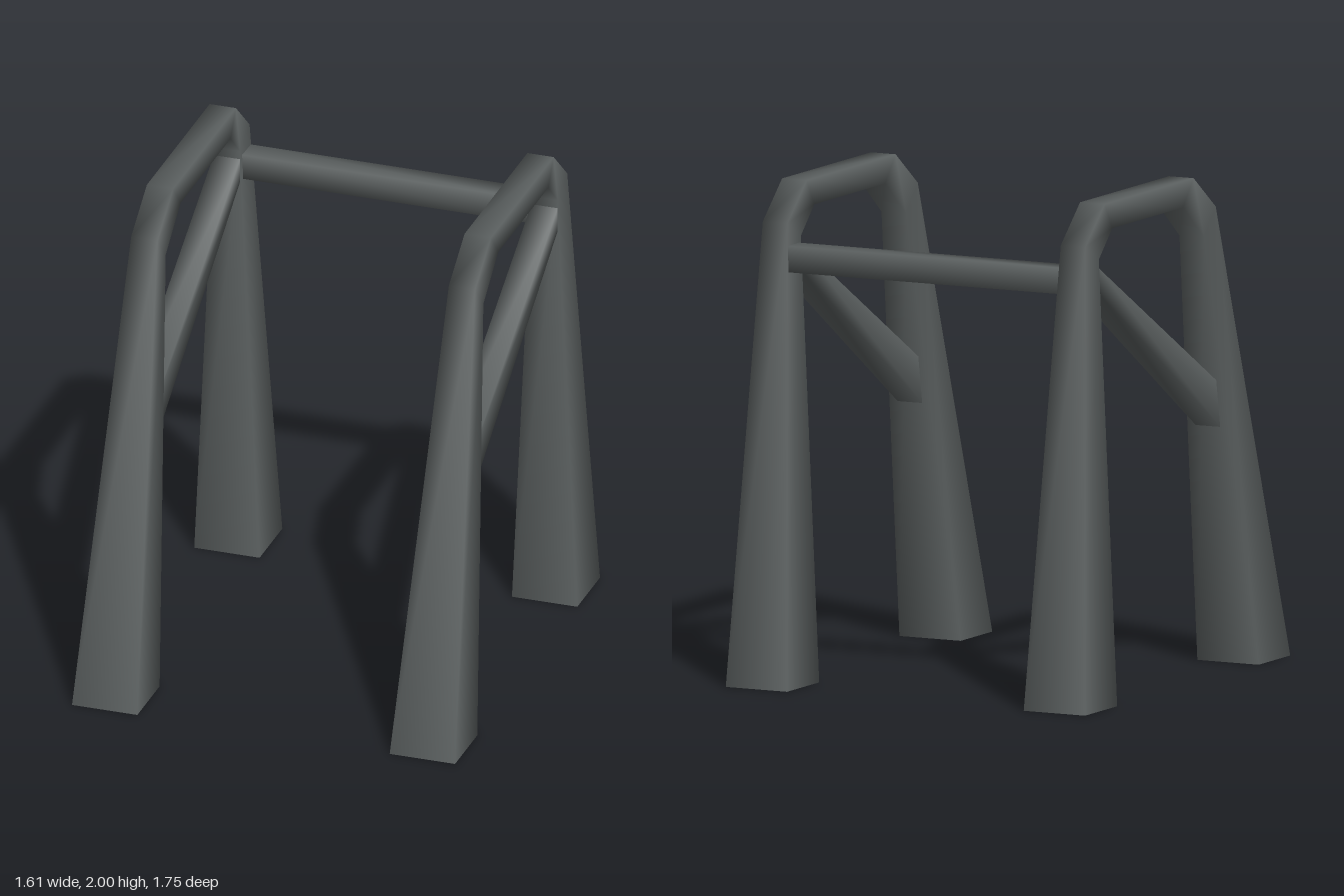
import * as THREE from 'three';

// Joins four-cornered cross-sections into an open, smooth-shaded tube
function loft(sections) {
  const index = [];
  for (let i = 0; i < sections.length - 1; i++) {
    for (let j = 0; j < 4; j++) {
      const k = (j + 1) % 4;
      const a = i * 4 + j, b = i * 4 + k;
      index.push(a, b, b + 4, a, b + 4, a + 4);
    }
  }
  const geo = new THREE.BufferGeometry();
  geo.setAttribute('position', new THREE.Float32BufferAttribute(sections.flat(2), 3));
  geo.setIndex(index);
  geo.computeVertexNormals();
  return geo;
}

// Section across x: outer and inner points are [z, y]
function across([outer, inner, half]) {
  return [
    [-half, outer[1], outer[0]], [half, outer[1], outer[0]],
    [half, inner[1], inner[0]], [-half, inner[1], inner[0]],
  ];
}

export function createModel() {
  const group = new THREE.Group();
  const darkGrey = new THREE.MeshStandardMaterial({ color: 0x5c6161, side: THREE.DoubleSide });
  darkGrey.name = 'darkGrey';

  // Arch from the front foot over the top to the back foot
  const archGeo = loft([
    [[0.88, 0], [0.61, 0], 0.137],
    [[0.40, 1.86], [0.30, 1.75], 0.055],
    [[0.21, 2.0], [0.12, 1.895], 0.055],
    [[-0.55, 2.0], [-0.485, 1.895], 0.055],
    [[-0.715, 1.85], [-0.60, 1.785], 0.055],
    [[-0.875, 0], [-0.60, 0], 0.137],
  ].map(across));

  // Sloping strut between the front and back legs
  const strutGeo = loft([
    [[0.41, 1.16], [0.44, 0.97], 0.055],
    [[-0.60, 1.75], [-0.60, 1.65], 0.055],
  ].map(across));

  for (const side of [1, -1]) {
    const frame = new THREE.Group();
    frame.name = side > 0 ? 'leftFrame' : 'rightFrame';
    frame.position.x = side * 0.666;
    const arch = new THREE.Mesh(archGeo, darkGrey);
    arch.name = 'arch';
    const strut = new THREE.Mesh(strutGeo, darkGrey);
    strut.name = 'strut';
    frame.add(arch, strut);
    group.add(frame);
  }

  // Crossbar joining the back legs
  const bar = new THREE.Mesh(loft([-0.61, 0.61].map((x) => [
    [x, 1.76, -0.62], [x, 1.655, -0.62], [x, 1.655, -0.72], [x, 1.76, -0.72],
  ])), darkGrey);
  bar.name = 'crossbar';
  group.add(bar);

  return group;
}
